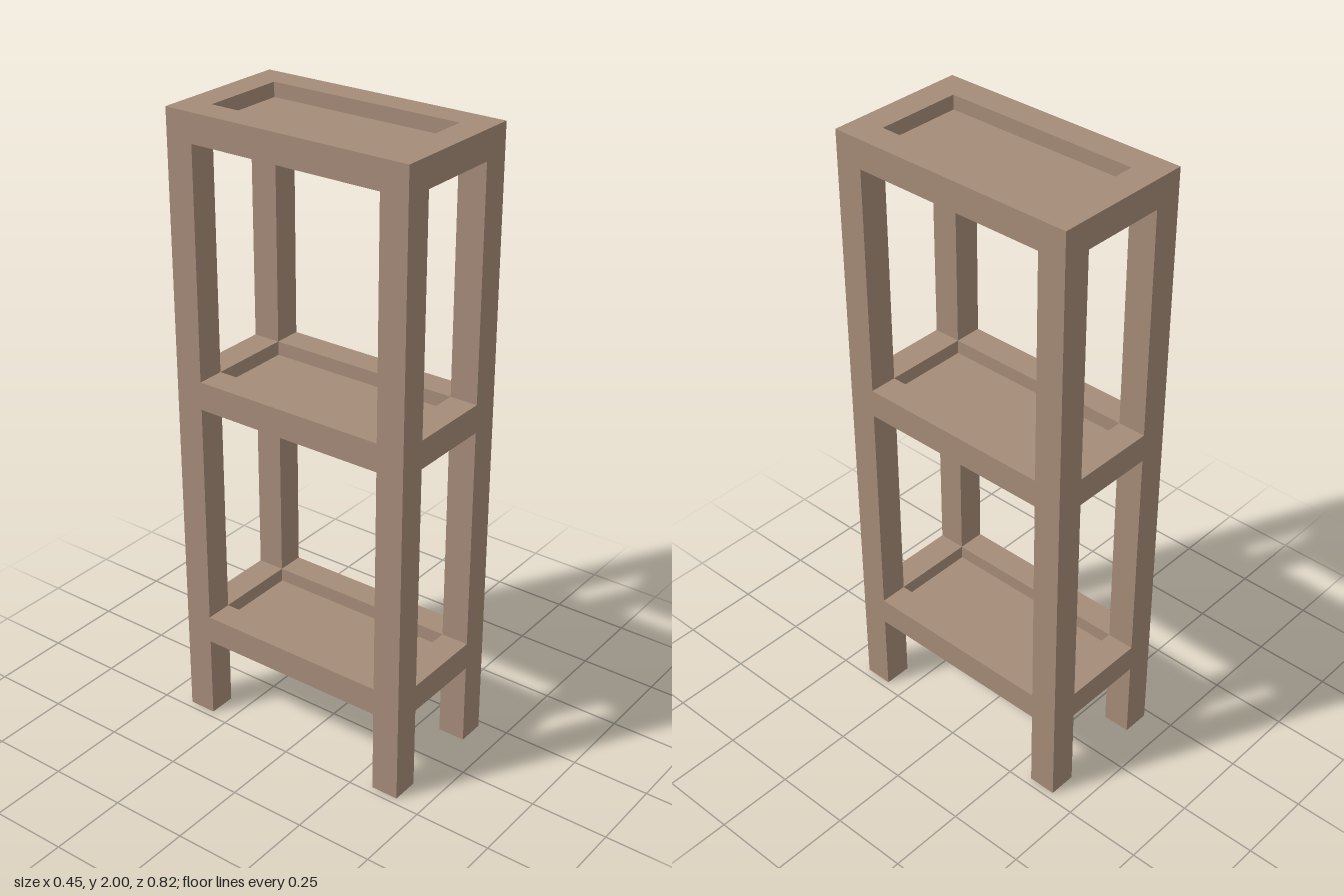
import * as THREE from 'three';

const W = 0.454, D = 0.817, H = 2, T = 0.09; // overall size and beam thickness
const PANEL = 0.045; // shelf panel thickness, flush with the rail underside
const SHELVES = { bottom: 0.273, middle: 1.094, top: H - T }; // underside heights

export function createModel() {
  const model = new THREE.Group();
  model.name = 'shelfStand';
  const wood = new THREE.MeshStandardMaterial({ color: 0xa58b78 });
  wood.name = 'brown wood';

  const box = (parent, name, w, h, d, x, y, z) => {
    const mesh = new THREE.Mesh(new THREE.BoxGeometry(w, h, d), wood);
    mesh.name = name;
    mesh.position.set(x, y + h / 2, z); // y is the underside
    parent.add(mesh);
  };

  const lx = (W - T) / 2, lz = (D - T) / 2; // beam centre lines

  // Four full-height legs
  for (const [sx, side] of [[1, 'Left'], [-1, 'Right']])
    for (const [sz, end] of [[1, 'front'], [-1, 'back']])
      box(model, `${end}${side}Leg`, T, H, T, sx * lx, 0, sz * lz);

  // Three tray shelves: rails between the legs around a sunken panel
  for (const [level, y] of Object.entries(SHELVES)) {
    const shelf = new THREE.Group();
    shelf.name = `${level}Shelf`;
    model.add(shelf);
    box(shelf, 'frontRail', W - 2 * T, T, T, 0, y, lz);
    box(shelf, 'backRail', W - 2 * T, T, T, 0, y, -lz);
    box(shelf, 'leftRail', T, T, D - 2 * T, lx, y, 0);
    box(shelf, 'rightRail', T, T, D - 2 * T, -lx, y, 0);
    box(shelf, 'panel', W - 2 * T, PANEL, D - 2 * T, 0, y, 0);
  }
  return model;
}
